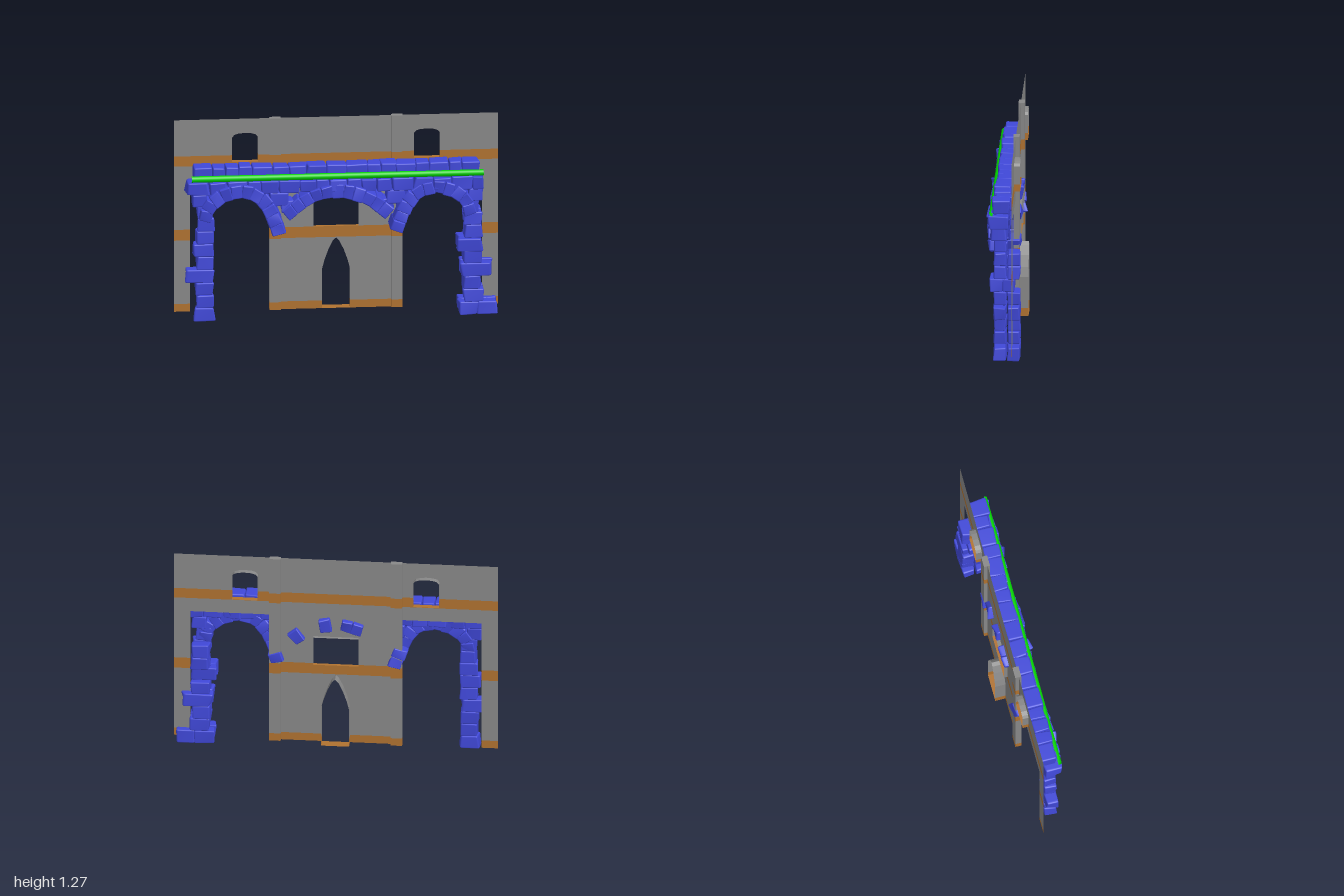
import * as THREE from 'three';
import { mergeVertices } from 'three/addons/utils/BufferGeometryUtils.js';
import { RoundedBoxGeometry } from 'three/addons/geometries/RoundedBoxGeometry.js';

const mat = (name, color, side = THREE.FrontSide) => {
  const m = new THREE.MeshStandardMaterial({ color, side });
  m.name = name;
  return m;
};

export function createModel() {
  const model = new THREE.Group();
  const plaster = mat('grey plaster', 0x888888, THREE.DoubleSide);
  const ochre = mat('ochre band', 0xb07230, THREE.DoubleSide);
  const stoneBlue = mat('blue stone', 0x4048d8);
  const green = mat('green rail', 0x00d000, THREE.DoubleSide);

  let seed = 7;
  const rnd = () => (seed = (seed * 16807) % 2147483647) / 2147483647;
  const jit = (a) => (rnd() * 2 - 1) * a;

  const add = (parent, name, geo, material) => {
    const mesh = new THREE.Mesh(geo, material);
    mesh.name = name;
    parent.add(mesh);
    return mesh;
  };
  const group = (name) => {
    const g = new THREE.Group();
    g.name = name;
    model.add(g);
    return g;
  };

  // ---- Back wall: thin sheet in horizontal bands ----
  const wall = group('wall');
  const WALL_Z = -0.055;
  const levels = [0.03, 0.08, 0.49, 0.56, 0.97, 1.035, 1.27];
  const sheet = (name, pts, material) => {
    const shape = new THREE.Shape(pts.map(([x, y]) => new THREE.Vector2(x, y)));
    add(wall, name, new THREE.ShapeGeometry(shape), material).position.z = WALL_Z;
  };
  const rect = (name, x0, x1, y0, y1, m) => sheet(name, [[x0, y0], [x1, y0], [x1, y1], [x0, y1]], m);

  // Outlines of the openings, left foot to right foot
  const mirrorX = (half) => [...half, ...half.filter(([x]) => x !== 0).reverse().map(([x, y]) => [-x, y])];
  const doorArch = mirrorX([[-0.087, 0.08], [-0.087, 0.28], [-0.072, 0.34], [-0.047, 0.41], [-0.02, 0.465], [0, 0.485]]);
  const windowArch = mirrorX([[-0.08, 1.035], [-0.08, 1.15], [-0.066, 1.166], [-0.04, 1.174], [0, 1.177]]);
  const shift = (pts, dx) => pts.map(([x, y]) => [x + dx, y]);
  const middleWindow = [[-0.14, 0.56], [-0.14, 0.745], [0.14, 0.745], [0.14, 0.56]];
  const WX = 0.56;

  for (const s of [-1, 1]) {
    const [o0, o1] = s < 0 ? [-1, -0.9] : [0.9, 1];
    const [c0, c1] = s < 0 ? [-0.41, -0.087] : [0.087, 0.41];
    rect('outerBase', o0, o1, 0.03, 0.08, ochre);
    rect('innerBase', c0, c1, 0.03, 0.08, ochre);
    rect('outerWall', o0, o1, 0.08, 0.49, plaster);
    rect('outerBand', o0, o1, 0.49, 0.56, ochre);
  }
  sheet('doorWall', [[-0.41, 0.08], ...doorArch, [0.41, 0.08], [0.41, 0.49], [-0.41, 0.49]], plaster);
  rect('middleBand', -0.41, 0.41, 0.49, 0.56, ochre);
  sheet('archWall', [[-1, 0.56], [-0.9, 0.56], [-0.9, 0.88], [-0.41, 0.88], [-0.41, 0.56], ...middleWindow,
    [0.41, 0.56], [0.41, 0.88], [0.9, 0.88], [0.9, 0.56], [1, 0.56], [1, 0.97], [-1, 0.97]], plaster);
  const sill = (x) => [[x + 0.08, 1.035], [x + 0.08, 0.99], [x - 0.08, 0.99], [x - 0.08, 1.035]];
  sheet('upperBand', [[-1, 0.97], [1, 0.97], [1, 1.035], ...sill(WX), ...sill(-WX), [-1, 1.035]], ochre);
  sheet('upperWall', [[-1, 1.035], ...shift(windowArch, -WX), ...shift(windowArch, WX),
    [1, 1.035], [1, 1.27], [-1, 1.27]], plaster);

  // Reveals: strips running back from the edge of each opening
  const inBand = (y) => [0, 2, 4].some((i) => y > levels[i] - 0.001 && y < levels[i + 1] + 0.001);
  const reveal = (name, pts, back) => {
    const pos = { band: [], plain: [] };
    pts.forEach(([x0, y0], i) => {
      const [x1, y1] = pts[(i + 1) % pts.length];
      pos[inBand((y0 + y1) / 2) ? 'band' : 'plain'].push(
        x0, y0, WALL_Z, x1, y1, WALL_Z, x1, y1, back,
        x0, y0, WALL_Z, x1, y1, back, x0, y0, back);
    });
    for (const [key, m] of [['plain', plaster], ['band', ochre]]) {
      const geo = new THREE.BufferGeometry();
      geo.setAttribute('position', new THREE.Float32BufferAttribute(pos[key], 3));
      geo.computeVertexNormals();
      add(wall, name, geo, m);
    }
  };
  reveal('doorReveal', [[-0.087, 0.03], ...doorArch, [0.087, 0.03]], -0.12);
  reveal('middleWindowReveal', middleWindow, -0.078);
  for (const x of [-WX, WX])
    reveal('windowReveal', [[x - 0.08, 0.99], ...shift(windowArch, x), [x + 0.08, 0.99]], -0.092);

  // Pilasters, split at the painted bands
  for (const x of [-0.375, 0.375])
    for (let i = 0; i < 6; i++) {
      const h = levels[i + 1] - levels[i];
      add(wall, 'pilaster', new THREE.BoxGeometry(0.07, h, 0.038), i % 2 ? plaster : ochre)
        .position.set(x, levels[i] + h / 2, -0.059);
    }

  // ---- Stones: rounded blocks with their corners pushed about ----
  const stone = (parent, x, y, z, w, h, d, angle = 0) => {
    let geo = new RoundedBoxGeometry(1, 1, 1, 2, 0.1);
    geo.deleteAttribute('normal');
    geo.deleteAttribute('uv');
    geo = mergeVertices(geo, 1e-3);
    const p = geo.attributes.position;
    const k = Array.from({ length: 9 }, () => jit(0.09));
    for (let i = 0; i < p.count; i++) {
      const a = p.getX(i), b = p.getY(i), c = p.getZ(i);
      p.setXYZ(i,
        a * (1 + k[0] * b * 2 + k[1] * c * 2) + k[2] * b * c * 2,
        b * (1 + k[3] * a + k[4] * c),
        c * (1 + k[5] * a * 2 + k[6] * b * 2) + k[7] * a * b * 2);
    }
    geo.scale(w, h, d);
    geo.computeVertexNormals();
    const m = add(parent, 'stone', geo, stoneBlue);
    m.position.set(x, y, z);
    m.rotation.z = angle;
  };

  // Pillars: [x centre, width] per row, from the ground up
  const rightPillar = group('rightPillar');
  [[-0.82, 0.12], [-0.815, 0.105], [-0.82, 0.11], [-0.85, 0.165], [-0.815, 0.105], [-0.825, 0.125],
    [-0.815, 0.11], [-0.81, 0.1], [-0.815, 0.1]].forEach(([x, w], i) =>
    stone(rightPillar, x, 0.043 + i * 0.083, 0.022, w, 0.084, 0.078));
  const leftPillar = group('leftPillar');
  [[0.81, 0.12], [0.84, 0.12], [0.83, 0.11], [0.855, 0.185], [0.835, 0.115], [0.815, 0.15],
    [0.84, 0.11], [0.835, 0.11], [0.82, 0.1]].forEach(([x, w], i) => {
    const y = 0.043 + i * 0.083;
    stone(leftPillar, x, y, i === 5 ? 0.045 : 0.022, w, 0.084, 0.078);
    if (i < 8) stone(leftPillar, x, y, i === 5 ? -0.03 : -0.064, w, 0.084, 0.075);
  });
  for (const z of [0.02, -0.064]) stone(leftPillar, 0.925, 0.043, z, 0.115, 0.084, 0.075);

  // Arches: stones set square to a curve; 'deep' lists those running back through the wall
  const arch = (name, pts, count, deep) => {
    const g = group(name);
    const curve = new THREE.CatmullRomCurve3(pts.map(([x, y]) => new THREE.Vector3(x, y, 0)));
    const len = curve.getLength() / count;
    for (let i = 0; i < count; i++) {
      const u = (i + 0.5) / count;
      const p = curve.getPointAt(u), t = curve.getTangentAt(u);
      const back = deep.includes(i) ? -0.085 : -0.02;
      const front = 0.1 + jit(0.01);
      stone(g, p.x, p.y, (front + back) / 2, len * 1.04, 0.085 + jit(0.008), front - back,
        Math.atan2(t.y, t.x));
    }
  };
  const side = [[-0.82, 0.66], [-0.795, 0.74], [-0.735, 0.805], [-0.66, 0.835], [-0.6, 0.843], [-0.53, 0.828],
    [-0.465, 0.785], [-0.425, 0.73], [-0.395, 0.66], [-0.36, 0.565]];
  arch('rightArch', side, 11, [9, 10]);
  arch('leftArch', side.map(([x, y]) => [-x, y]), 11, [10]);
  arch('middleArch', [[-0.32, 0.68], [-0.2, 0.775], [-0.1, 0.818], [0, 0.832], [0.1, 0.818], [0.2, 0.775], [0.32, 0.68]],
    11, [3, 4, 6, 9]);

  // Spandrel stones and the two long courses
  const courses = group('courses');
  for (const s of [-1, 1]) {
    stone(courses, s * 0.85, 0.785, 0.03, 0.09, 0.08, 0.1);
    stone(courses, s * 0.36, 0.785, 0.03, 0.12, 0.085, 0.11);
    stone(courses, s * 0.31, 0.735, 0.03, 0.07, 0.08, 0.1);
  }
  const course = (x0, x1, y, h, z, d) => {
    for (let x = x0; x < x1 - 0.03;) {
      let w = 0.08 + rnd() * 0.06;
      if (x + w > x1 - 0.05) w = x1 - x;
      stone(courses, x + w / 2, y + jit(0.004), z + jit(0.008), w, h + jit(0.006), d);
      x += w;
    }
  };
  course(-0.93, 0.9, 0.865, 0.08, 0.03, 0.115);
  course(-0.885, 0.87, 0.948, 0.09, 0.012, 0.105);

  // ---- Green rail along the front: open half tube ----
  const rail = new THREE.CylinderGeometry(0.02, 0.02, 1.8, 12, 1, true, -Math.PI / 2, Math.PI);
  rail.rotateZ(Math.PI / 2);
  add(model, 'rail', rail, green).position.set(0, 0.925, 0.068);

  return model;
}
